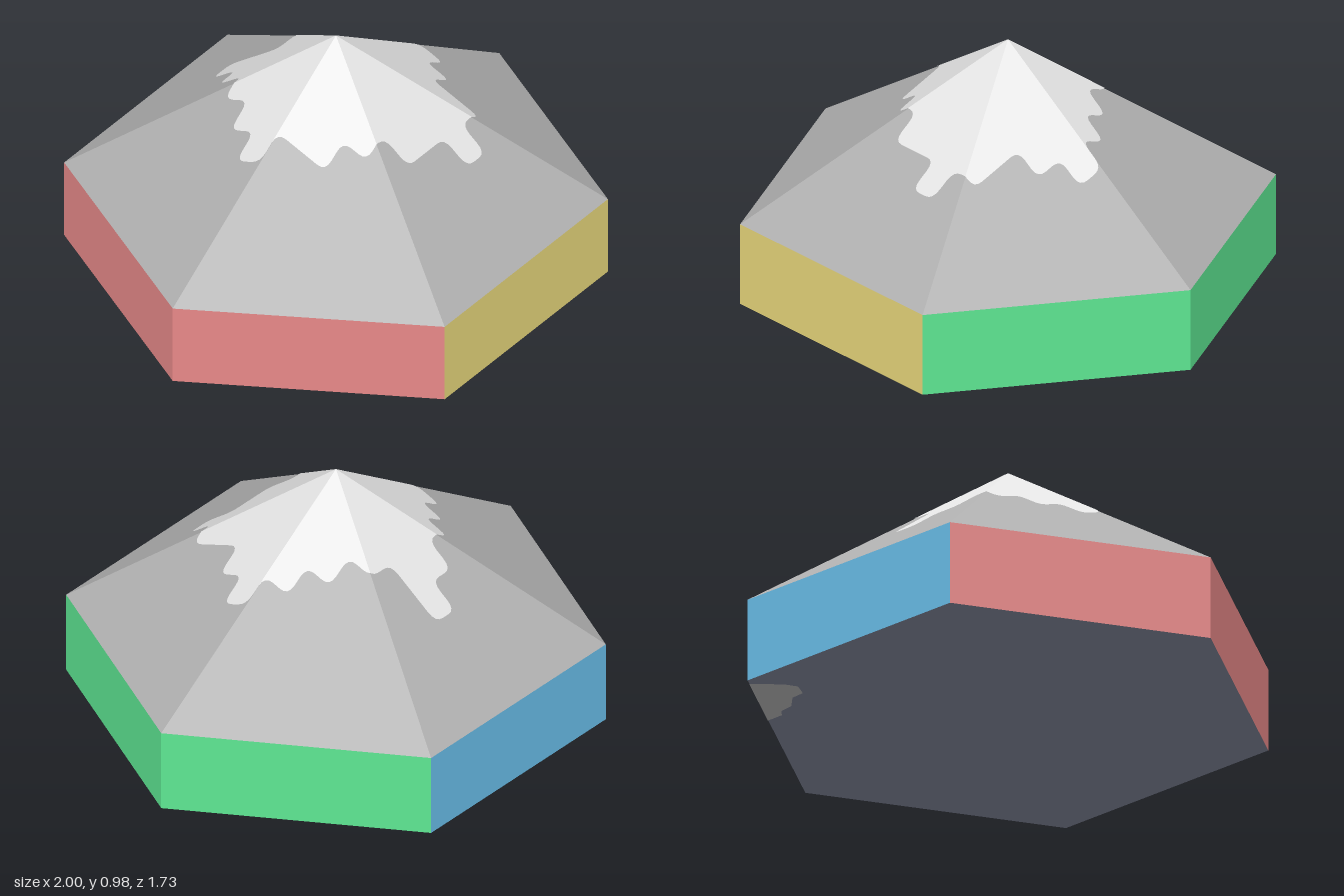
import * as THREE from 'three';

const WALL = 0.325, PEAK = 0.975, APOTHEM = Math.sqrt(3) / 2;
const SLOPE = (PEAK - WALL) / APOTHEM;
const DEG = Math.PI / 180;

function mat(name, color) {
  const m = new THREE.MeshStandardMaterial({ color });
  m.name = name;
  return m;
}

// Faceted copy of a geometry
function flat(geo) {
  const g = geo.index ? geo.toNonIndexed() : geo;
  g.computeVertexNormals();
  return g;
}

// Closed polygon with rounded corners, as a list of points
function roundedOutline(pts, r) {
  const shape = new THREE.Shape();
  const n = pts.length;
  pts.forEach((p, i) => {
    const toward = (q) => p.clone().add(q.clone().sub(p).setLength(r));
    const a = toward(pts[(i + n - 1) % n]), b = toward(pts[(i + 1) % n]);
    if (i === 0) shape.moveTo(a.x, a.y);
    else shape.lineTo(a.x, a.y);
    shape.quadraticCurveTo(p.x, p.y, b.x, b.y);
  });
  return shape.getPoints(4);
}

// Keep the part of a polygon where side(p) > 0
function clip(pts, side) {
  const out = [];
  pts.forEach((p, i) => {
    const q = pts[(i + 1) % pts.length];
    const a = side(p), b = side(q);
    const inA = a > 1e-6, inB = b > 1e-6;
    if (inA) out.push(p);
    if (inA !== inB) out.push(p.clone().lerp(q, a / (a - b)));
  });
  return out;
}

export function createModel() {
  const model = new THREE.Group();
  model.name = 'mountainTile';
  const add = (name, geo, material, y = 0) => {
    const mesh = new THREE.Mesh(geo, material);
    mesh.name = name;
    mesh.position.y = y;
    model.add(mesh);
    return mesh;
  };

  const rock = mat('rockGrey', 0xaeaeae);
  const snow = mat('snowWhite', 0xe3e3e3);
  const yellow = mat('yellow', 0xe6d57a);
  const green = mat('green', 0x5de692);
  const blue = mat('blue', 0x68bbe6);
  const red = mat('red', 0xe68888);
  const slate = mat('slate', 0x7a7f93);

  // Coloured walls of the hexagonal base: start angle and number of faces
  [['frontWall', yellow, -30, 1], ['leftWalls', green, 30, 2],
    ['backWall', blue, 150, 1], ['rightWalls', red, 210, 2]].forEach(([name, m, start, faces]) => {
    add(name, flat(new THREE.CylinderGeometry(1, 1, WALL, faces, 1, true, start * DEG, faces * 60 * DEG)), m, WALL / 2);
  });

  // Six-sided rock pyramid
  add('rockPeak', flat(new THREE.CylinderGeometry(0, 1, PEAK - WALL, 6, 1, true, Math.PI / 2)), rock, (PEAK + WALL) / 2);

  // Underside
  const base = new THREE.CircleGeometry(1, 6);
  base.rotateX(Math.PI / 2);
  add('underside', base, slate, 0.003);

  // Small grey patch on the underside, given as distance along and in from one edge
  const patch = [[0.03, 0], [0.05, 0.08], [0.065, 0.13], [0.09, 0.17], [0.15, 0.175], [0.18, 0.13],
    [0.25, 0.11], [0.285, 0.065], [0.32, 0.06], [0.355, 0]]
    .map(([t, d]) => new THREE.Vector2(0.5 + 0.5 * t - APOTHEM * d, -APOTHEM + APOTHEM * t + 0.5 * d));
  const patchGeo = new THREE.ShapeGeometry(new THREE.Shape(patch));
  patchGeo.rotateX(Math.PI / 2);
  add('undersidePatch', patchGeo, rock);

  // Stepped snow line in grid cells (x to the side, y to the back)
  const steps = [[0, 5], [1, 5], [1, 3], [2, 3], [2, 2], [3, 2], [3, 1], [4, 1], [4, 0], [5, 0], [5, -1], [4, -1],
    [4, -2], [3, -2], [3, -4], [2, -4], [2, -5], [1, -5], [1, -4], [-1, -4], [-1, -3], [-2, -3], [-2, -2],
    [-3, -2], [-3, 0], [-4, 0], [-4, 1], [-3, 1], [-3, 2], [-2, 2], [-2, 3], [-1, 3], [-1, 4], [0, 4]]
    .map(([i, j]) => new THREE.Vector2(i * 0.109 - 0.03, j * 0.108));
  const outline = roundedOutline(steps, 0.038);

  // Snow cap: cut the outline into six sectors and lay each on its slope
  for (let i = 0; i < 6; i++) {
    const ray = (deg) => new THREE.Vector2(Math.cos(deg * DEG), Math.sin(deg * DEG));
    const a = ray(i * 60), b = ray(i * 60 + 60), out = ray(i * 60 + 30);
    const sector = clip(clip(outline, (p) => a.cross(p)), (p) => p.cross(b));
    const geo = new THREE.ShapeGeometry(new THREE.Shape(sector));
    const pos = geo.attributes.position;
    for (let k = 0; k < pos.count; k++) {
      const x = pos.getX(k), y = pos.getY(k);
      pos.setXYZ(k, x, PEAK + 0.003 - SLOPE * (out.x * x + out.y * y), -y);
    }
    add('snowCap' + (i + 1), flat(geo), snow);
  }
  return model;
}
